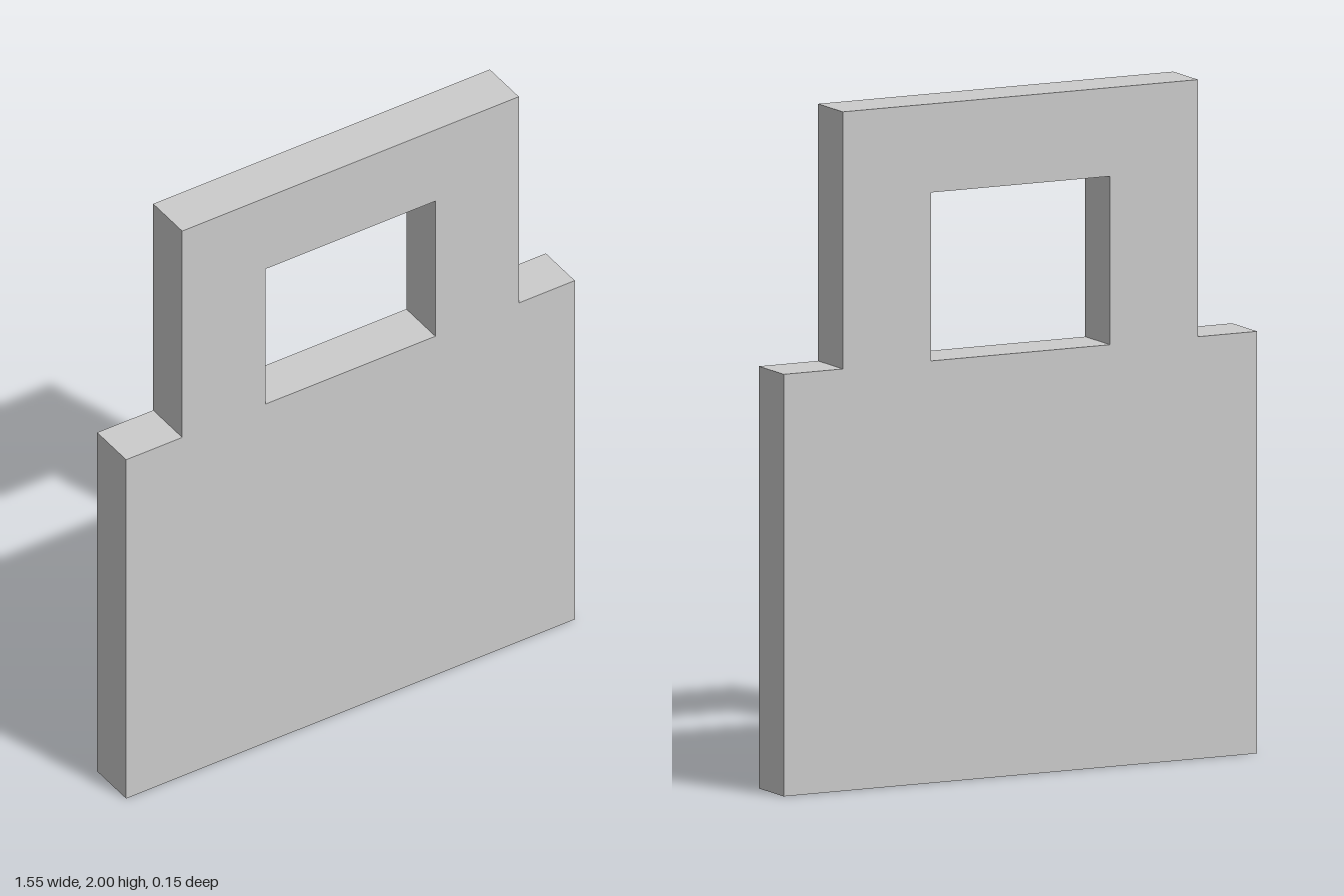
import * as THREE from 'three';

const DEPTH = 0.154;
const BODY = { halfWidth: 0.777, top: 1.243 };
const SHACKLE = { halfWidth: 0.583, top: 2 };
const OPENING = { halfWidth: 0.294, top: 1.739 };

export function createModel() {
  const group = new THREE.Group();
  group.name = 'padlock';

  // Stepped outline: wide body with the narrower shackle on top
  const right = [
    [BODY.halfWidth, 0],
    [BODY.halfWidth, BODY.top],
    [SHACKLE.halfWidth, BODY.top],
    [SHACKLE.halfWidth, SHACKLE.top],
  ].map(([x, y]) => new THREE.Vector2(x, y));
  const left = right.map((p) => new THREE.Vector2(-p.x, p.y)).reverse();
  const outline = new THREE.Shape([...right, ...left]);

  // Rectangular opening, resting on the top of the body
  const w = OPENING.halfWidth;
  outline.holes.push(new THREE.Path([
    new THREE.Vector2(-w, BODY.top),
    new THREE.Vector2(-w, OPENING.top),
    new THREE.Vector2(w, OPENING.top),
    new THREE.Vector2(w, BODY.top),
  ]));

  // Flat plate, centred in depth
  const geometry = new THREE.ExtrudeGeometry(outline, { depth: DEPTH, bevelEnabled: false });
  geometry.translate(0, 0, -DEPTH / 2);
  const material = new THREE.MeshStandardMaterial({ color: 0xcccccc, flatShading: true });
  const plate = new THREE.Mesh(geometry, material);
  plate.name = 'bodyAndShackle';
  group.add(plate);

  return group;
}
